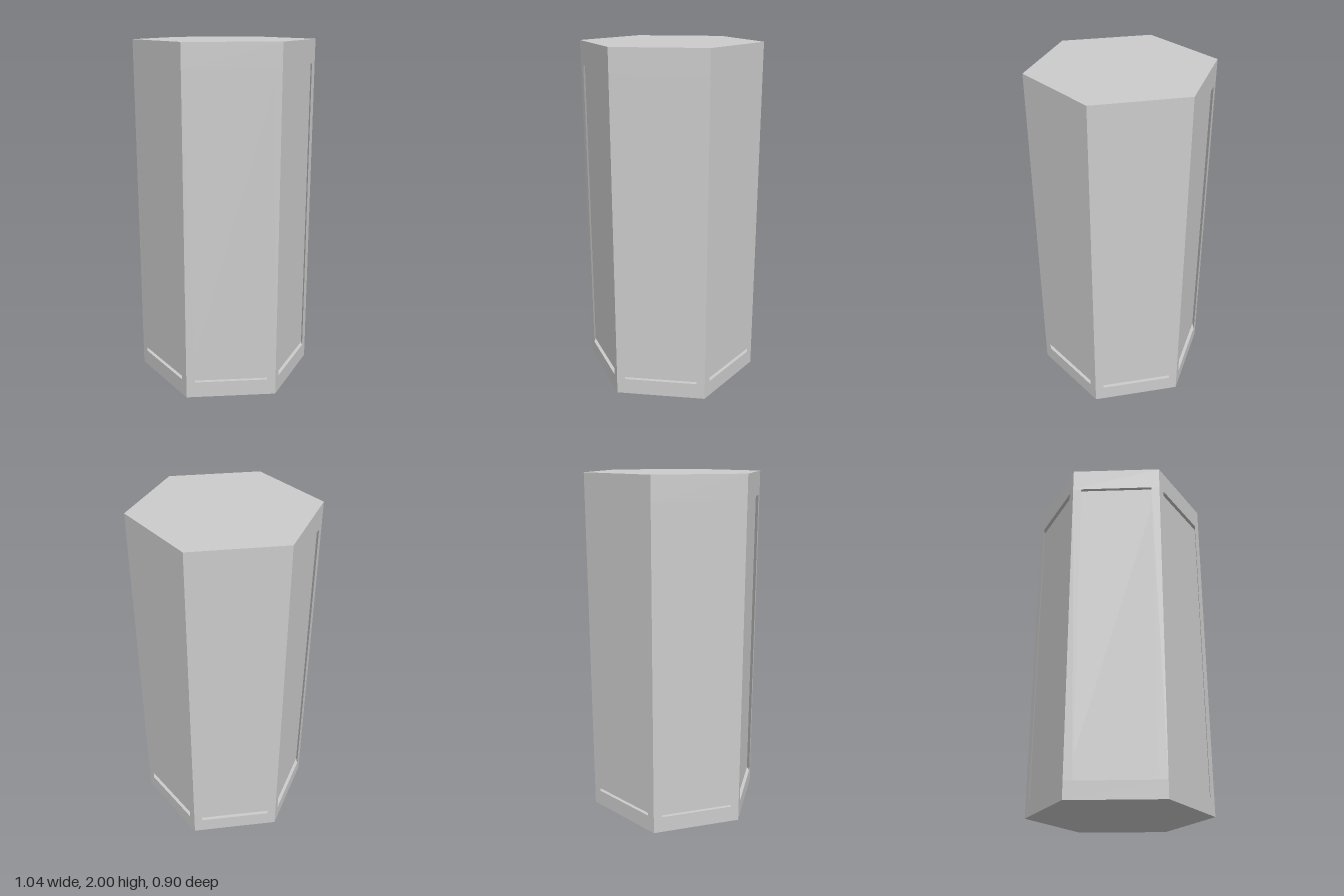
import * as THREE from 'three';

const R = 0.518;                 // outer corner radius
const CORE_R = 0.495;            // corner radius of the recessed panels
const H = 2;
const PANEL_BOTTOM = 0.095;
const PANEL_TOP = 1.865;
const POST = 0.049;              // post width along each side

export function createModel() {
  const group = new THREE.Group();
  const material = new THREE.MeshStandardMaterial({ color: 0xcccccc, flatShading: true });

  // Six-sided prism with corners on the x axis
  function prism(name, radius, y0, y1, open = false) {
    const geometry = new THREE.CylinderGeometry(radius, radius, y1 - y0, 6, 1, open, Math.PI / 2);
    const mesh = new THREE.Mesh(geometry, material);
    mesh.position.y = (y0 + y1) / 2;
    mesh.name = name;
    group.add(mesh);
  }

  prism('base', R, 0, PANEL_BOTTOM);
  prism('top', R, PANEL_TOP, H);
  prism('recessedPanels', CORE_R, PANEL_BOTTOM, PANEL_TOP, true);

  // Corner posts framing the panels, tapering inward to the panel corners
  const dx = POST * 0.5, dy = POST * Math.sqrt(3) / 2;
  const section = new THREE.Shape([
    new THREE.Vector2(CORE_R, 0),
    new THREE.Vector2(R - dx, -dy),
    new THREE.Vector2(R, 0),
    new THREE.Vector2(R - dx, dy),
  ]);
  const postGeometry = new THREE.ExtrudeGeometry(section, {
    depth: PANEL_TOP - PANEL_BOTTOM, bevelEnabled: false,
  });
  postGeometry.rotateX(-Math.PI / 2);
  postGeometry.translate(0, PANEL_BOTTOM, 0);

  const posts = new THREE.Group();
  posts.name = 'cornerPosts';
  for (let i = 0; i < 6; i++) {
    const post = new THREE.Mesh(postGeometry, material);
    post.name = 'cornerPost';
    post.rotation.y = i * Math.PI / 3;
    posts.add(post);
  }
  group.add(posts);

  return group;
}
